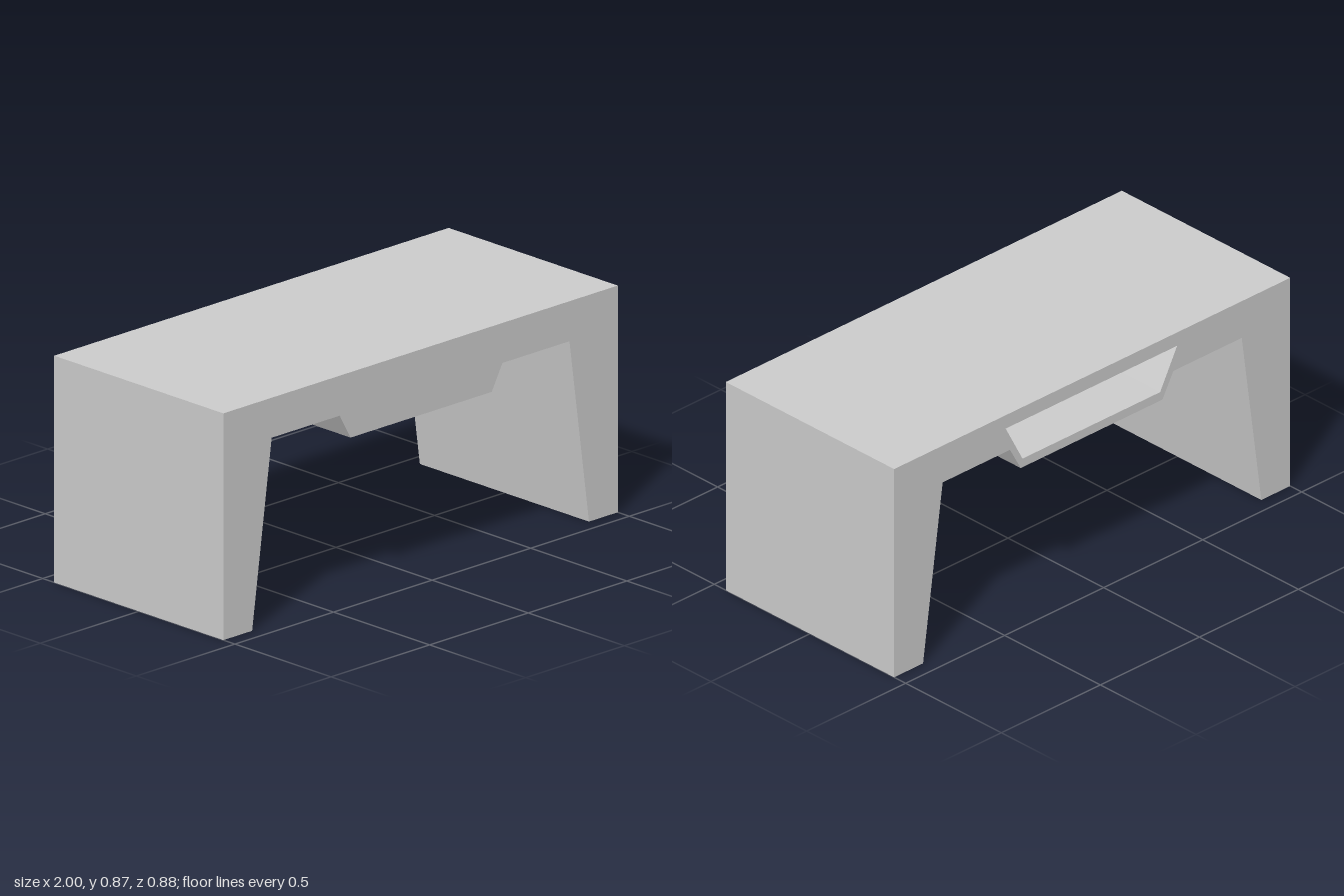
import * as THREE from 'three';

const HEIGHT = 0.873, HALF_DEPTH = 0.44, FRONT_WALL = 0.035;

// Front outline: two tapered legs, a top slab and a hanging drawer housing
const OUTLINE = [
  [-1, 0], [-0.854, 0], [-0.755, 0.719], [-0.41, 0.719], [-0.355, 0.621],
  [0.361, 0.621], [0.415, 0.719], [0.755, 0.719], [0.854, 0], [1, 0],
  [1, HEIGHT], [-1, HEIGHT],
];

// Trapezoid compartment that opens at the back
const POCKET = [[-0.343, 0.657], [-0.429, 0.817], [0.437, 0.817], [0.352, 0.657]];

const toPoints = (list) => list.map(([x, y]) => new THREE.Vector2(x, y));

function slice(name, zBack, zFront, hole) {
  const shape = new THREE.Shape(toPoints(OUTLINE));
  if (hole) shape.holes.push(new THREE.Path(toPoints(hole)));
  const geometry = new THREE.ExtrudeGeometry(shape, { depth: zFront - zBack, bevelEnabled: false });
  geometry.translate(0, 0, zBack);
  const material = new THREE.MeshStandardMaterial({ color: 0xcccccc, flatShading: true });
  const mesh = new THREE.Mesh(geometry, material);
  mesh.name = name;
  return mesh;
}

export function createModel() {
  const desk = new THREE.Group();
  desk.name = 'desk';
  const split = HALF_DEPTH - FRONT_WALL;
  // Body with the compartment running through it, closed by a solid front
  desk.add(slice('deskBody', -HALF_DEPTH, split, POCKET));
  desk.add(slice('frontPanel', split, HALF_DEPTH));
  return desk;
}
